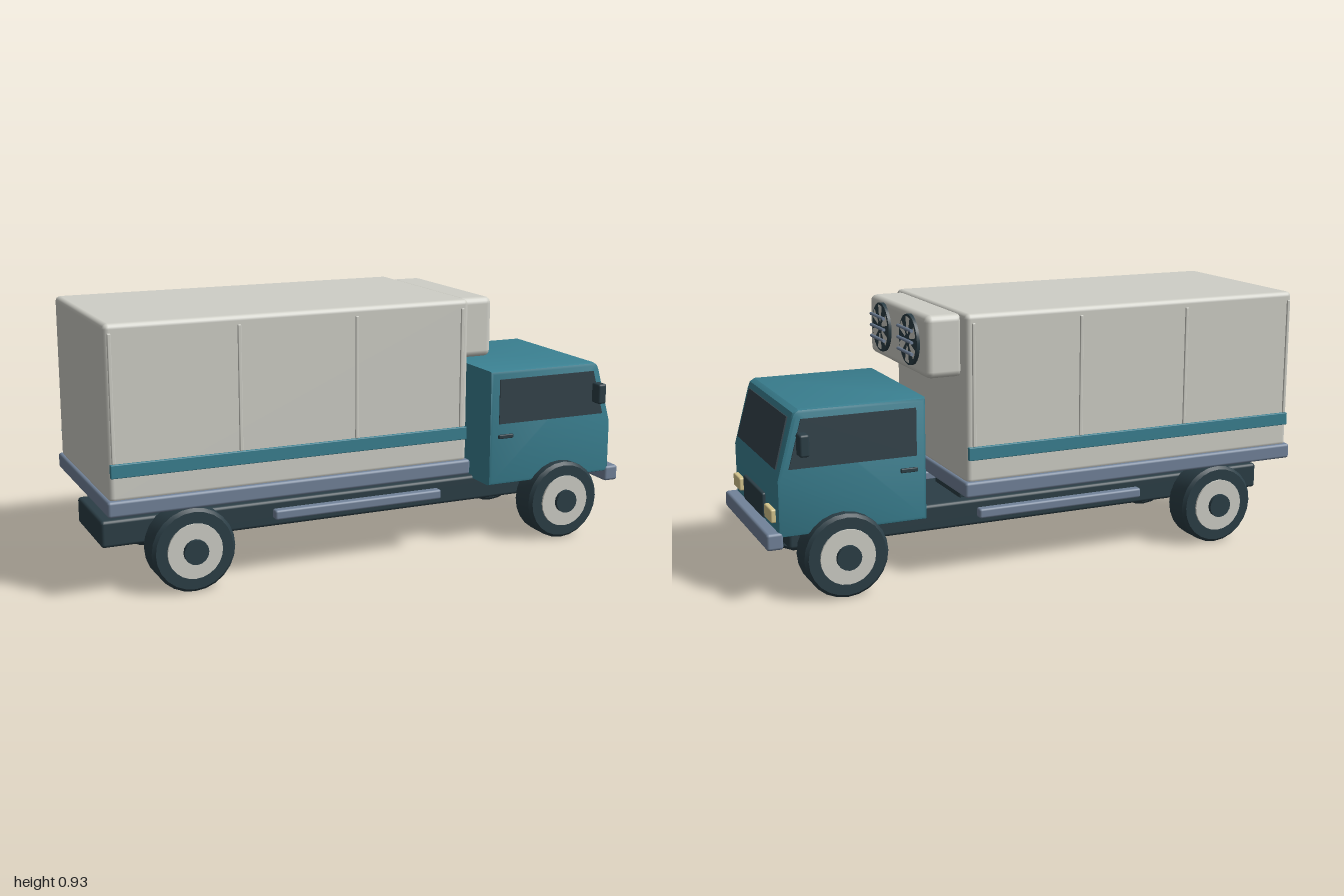
import * as THREE from 'three';
import { toCreasedNormals } from 'three/addons/utils/BufferGeometryUtils.js';
import { RoundedBoxGeometry } from 'three/addons/geometries/RoundedBoxGeometry.js';

const mat = (name, color) => {
  const m = new THREE.MeshStandardMaterial({ color });
  m.name = name;
  return m;
};

export function createModel() {
  const truck = new THREE.Group();
  truck.name = 'refrigeratedTruck';
  const panel = mat('panelGrey', 0xcfcfc7);
  const teal = mat('teal', 0x3a8091);
  const dark = mat('darkSlate', 0x2b3e46);
  const steel = mat('steel', 0x72839a);
  const lamp = mat('lampCream', 0xd6c68e);
  const glass = mat('glass', 0x33434b);

  const add = (name, geo, material, parent = truck) => {
    const mesh = new THREE.Mesh(geo, material);
    mesh.name = name;
    parent.add(mesh);
    return mesh;
  };
  // Soft-edged box given by its limits on each axis
  const box = (name, material, x0, x1, y0, y1, z0, z1, r = 0.008) => {
    const s = [x1 - x0, y1 - y0, z1 - z0];
    const geo = new RoundedBoxGeometry(...s, 2, Math.min(r, Math.min(...s) * 0.4));
    const mesh = add(name, geo, material);
    mesh.position.set((x0 + x1) / 2, (y0 + y1) / 2, (z0 + z1) / 2);
    return mesh;
  };
  // The same box on both sides of the truck
  const pair = (name, material, x0, x1, y0, y1, z0, z1, r) => {
    box(name + 'Left', material, x0, x1, y0, y1, -z1, -z0, r);
    box(name + 'Right', material, x0, x1, y0, y1, z0, z1, r);
  };
  const polygon = (pts) => new THREE.Shape(pts.map((p) => new THREE.Vector2(...p)));

  // Chassis, load bed and side guards
  box('chassis', dark, -0.98, 0.89, 0.14, 0.235, -0.165, 0.165, 0.012);
  box('bedSupport', dark, -0.9, 0.25, 0.23, 0.31, -0.12, 0.12);
  box('loadBed', steel, -1, 0.32, 0.3, 0.355, -0.35, 0.35, 0.01);
  pair('sideGuard', steel, -0.4, 0.24, 0.2, 0.235, 0.25, 0.285);

  // Cargo box with stripes and panel ribs
  box('cargoBox', panel, -0.99, 0.31, 0.345, 0.93, -0.338, 0.338, 0.018);
  pair('stripe', teal, -0.985, 0.305, 0.43, 0.476, 0.33, 0.347, 0.003);
  for (const x of [-0.973, -0.54, -0.12, 0.283]) {
    pair('panelRib', panel, x - 0.006, x + 0.006, 0.476, 0.9, 0.33, 0.344, 0.003);
  }

  // Cooling unit with two fans
  box('coolingUnit', panel, 0.296, 0.432, 0.71, 0.925, -0.287, 0.287, 0.024);
  for (const z of [-0.14, 0.14]) {
    const fan = new THREE.Group();
    fan.name = 'fan';
    fan.position.set(0.432, 0.825, z);
    truck.add(fan);
    const disc = new THREE.CylinderGeometry(0.088, 0.088, 0.022, 24).rotateZ(-Math.PI / 2);
    add('fanHousing', toCreasedNormals(disc, 0.6), dark, fan);
    for (let i = 0; i < 6; i++) {
      const start = (i / 6) * Math.PI * 2 + 0.2;
      const blade = new THREE.RingGeometry(0.022, 0.08, 4, 1, start, 0.5);
      add('fanBlade', blade.rotateY(Math.PI / 2).translate(0.013, 0, 0), panel, fan);
    }
    for (const y of [-0.04, 0, 0.04]) {
      const bar = new THREE.CylinderGeometry(0.006, 0.006, 0.136, 8).rotateX(Math.PI / 2);
      add('fanGuardBar', bar.translate(0.022, y, 0), steel, fan);
    }
  }

  // Cab with a sloping front
  const cab = new THREE.ExtrudeGeometry(
    polygon([[0.435, 0.225], [0.955, 0.225], [0.955, 0.42], [0.9, 0.62], [0.892, 0.64], [0.875, 0.651], [0.435, 0.651]]),
    { depth: 0.546, bevelEnabled: true, bevelThickness: 0.012, bevelSize: 0.012, bevelOffset: -0.012, bevelSegments: 2 });
  add('cab', toCreasedNormals(cab.translate(0, 0, -0.273), 0.6), teal);

  // Windscreen lying on the slope
  const up = new THREE.Vector3(-0.055, 0.2, 0).normalize();
  const across = new THREE.Vector3(0, 0, -1);
  const out = new THREE.Vector3().crossVectors(across, up);
  const screen = new THREE.ExtrudeGeometry(
    polygon([[-0.25, 0.03], [0.25, 0.03], [0.242, 0.208], [-0.242, 0.208]]),
    { depth: 0.006, bevelEnabled: false });
  screen.applyMatrix4(new THREE.Matrix4().makeBasis(across, up, out).setPosition(0.954, 0.42, 0));
  add('windscreen', screen, glass);

  // Side windows
  const sidePane = polygon([[0.472, 0.455], [0.915, 0.455], [0.87, 0.62], [0.472, 0.62]]);
  for (const z of [-0.289, 0.283]) {
    const pane = new THREE.ExtrudeGeometry(sidePane, { depth: 0.006, bevelEnabled: false });
    add('sideWindow', pane.translate(0, 0, z), glass);
  }

  // Cab fittings
  pair('doorHandle', dark, 0.47, 0.53, 0.4, 0.415, 0.28, 0.293, 0.003);
  pair('mirrorArm', dark, 0.868, 0.882, 0.535, 0.55, 0.275, 0.3, 0.003);
  pair('mirror', dark, 0.858, 0.892, 0.505, 0.58, 0.296, 0.346, 0.008);
  box('grille', dark, 0.945, 0.967, 0.253, 0.34, -0.128, 0.128, 0.006);
  pair('headlight', lamp, 0.945, 0.972, 0.27, 0.317, 0.165, 0.254, 0.006);
  box('bumper', steel, 0.94, 0.997, 0.186, 0.244, -0.287, 0.287, 0.01);

  // Axles and wheels
  const tyreProfile = [[0, 0], [0.135, 0], [0.146, 0.012], [0.146, 0.103], [0.135, 0.115], [0, 0.115]]
    .map((p) => new THREE.Vector2(...p));
  for (const x of [-0.705, 0.735]) {
    const axle = new THREE.CylinderGeometry(0.038, 0.038, 0.46, 16).rotateX(Math.PI / 2);
    add('axle', axle, dark).position.set(x, 0.146, 0);
    for (const side of [1, -1]) {
      const wheel = new THREE.Group();
      wheel.name = 'wheel';
      wheel.position.set(x, 0.146, 0.21 * side);
      if (side < 0) wheel.rotation.y = Math.PI;
      truck.add(wheel);
      const tyre = new THREE.LatheGeometry(tyreProfile, 24).rotateX(Math.PI / 2);
      add('tyre', toCreasedNormals(tyre, 0.6), dark, wheel);
      const rim = new THREE.CylinderGeometry(0.096, 0.096, 0.03, 24).rotateX(Math.PI / 2);
      add('rim', rim.translate(0, 0, 0.107), panel, wheel);
      const cap = new THREE.CylinderGeometry(0.043, 0.043, 0.04, 16).rotateX(Math.PI / 2);
      add('hubCap', cap.translate(0, 0, 0.116), dark, wheel);
    }
  }
  return truck;
}
